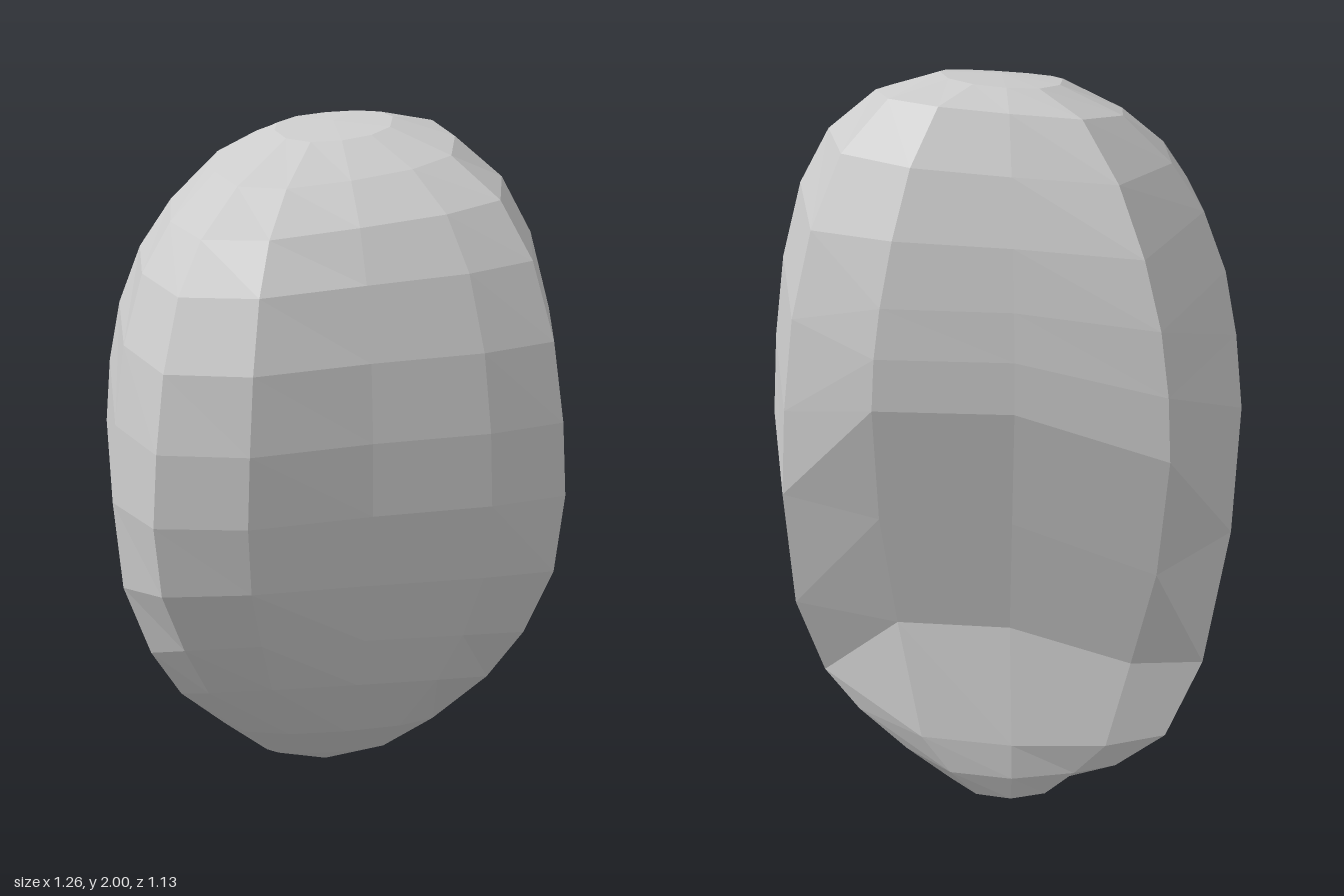
import * as THREE from 'three';

// Cross-section outline from the left side round by the front:
// x and z from -1 to 1, and the share of the ring's back lift
const OUTLINE = [
  [1, 0.06, 0], [0.89, 0.66, 0], [0.55, 0.79, 0], [0.04, 0.87, 0], [-0.48, 1, 0], [-0.85, 0.9, 0],
  [-1, 0.4, 0], [-1, 0, 0.5], [-0.62, -1, 0.65], [0, -0.89, 1], [0.57, -0.83, 1], [0.95, -0.63, 0],
];
const RIGHT_BACK = 7; // this column swings backwards down the rock, its z is set per ring

// Rings from top to bottom: half width, z at front / middle / back,
// y at front / middle / back, sideways tilt, back lift, roundness, z of the right back column
const RINGS = [
  [0.16, 0.095, -0.06, -0.22, 1.96, 1.985, 1.99, 0.08, 0, 0.8, -0.5],
  [0.325, 0.24, -0.04, -0.33, 1.875, 1.915, 1.95, 0.1, 0, 0.5, -0.42],
  [0.45, 0.37, -0.02, -0.425, 1.775, 1.805, 1.81, 0.08, 0, 0.28, -0.36],
  [0.53, 0.465, -0.01, -0.5, 1.645, 1.67, 1.62, 0.04, 0.02, 0.12, -0.33],
  [0.585, 0.535, 0, -0.54, 1.46, 1.475, 1.4, 0.01, 0.08, 0.03, -0.35],
  [0.615, 0.565, 0, -0.56, 1.26, 1.25, 1.15, 0, 0.2, 0, -0.38],
  [0.63, 0.565, 0, -0.565, 1.07, 1.02, 0.91, 0, 0.3, 0, -0.46],
  [0.61, 0.53, 0, -0.49, 0.88, 0.73, 0.53, 0, 0.33, 0, -0.62],
  [0.54, 0.45, 0, -0.41, 0.7, 0.5, 0.27, 0, 0.24, 0.08, -0.92],
  [0.455, 0.36, -0.04, -0.47, 0.53, 0.35, 0.17, 0, 0.02, 0.4, -0.88],
  [0.32, 0.18, -0.17, -0.455, 0.3, 0.19, 0.09, 0, 0, 0.6, -0.85],
  [0.185, -0.05, -0.23, -0.415, 0.12, 0.055, 0.005, 0, 0, 0.75, -0.6],
];
const TOP = [0, 1.99, -0.06];
const BOTTOM = [0, 0, -0.25];

// Blend from the middle value towards the front or the back one
const blend = (t, front, mid, back) => mid + (t > 0 ? t * (front - mid) : -t * (back - mid));

function boulderGeometry() {
  const n = OUTLINE.length;
  const positions = [...TOP];
  for (const [w, zF, zM, zB, yF, yM, yB, tilt, lift, round, rightBack] of RINGS) {
    OUTLINE.forEach(([ox, oz, share], j) => {
      const angle = (j / n) * Math.PI * 2;
      const u = THREE.MathUtils.lerp(ox, Math.cos(angle), round);
      const v = j === RIGHT_BACK ? rightBack : THREE.MathUtils.lerp(oz, Math.sin(angle), round);
      const y = blend(v, yF, yM, yB) + tilt * u * w + lift * share;
      positions.push(u * w, Math.min(y, 2), blend(v, zF, zM, zB));
    });
  }
  positions.push(...BOTTOM);

  const index = [];
  const last = positions.length / 3 - 1;
  const at = (ring, col) => 1 + ring * n + (col % n);
  for (let j = 0; j < n; j++) {
    index.push(0, at(0, j + 1), at(0, j)); // top fan
    for (let i = 0; i < RINGS.length - 1; i++) {
      const a = at(i, j), b = at(i, j + 1), c = at(i + 1, j), d = at(i + 1, j + 1);
      index.push(a, b, c, b, d, c);
    }
    index.push(at(RINGS.length - 1, j), at(RINGS.length - 1, j + 1), last); // bottom fan
  }

  const geometry = new THREE.BufferGeometry();
  geometry.setAttribute('position', new THREE.Float32BufferAttribute(positions, 3));
  geometry.setIndex(index);
  const faceted = geometry.toNonIndexed();
  faceted.computeVertexNormals();
  return faceted;
}

export function createModel() {
  const group = new THREE.Group();
  group.name = 'rock';
  const material = new THREE.MeshStandardMaterial({ color: 0xcccccc, flatShading: true });
  const boulder = new THREE.Mesh(boulderGeometry(), material);
  boulder.name = 'boulder';
  group.add(boulder);
  return group;
}
